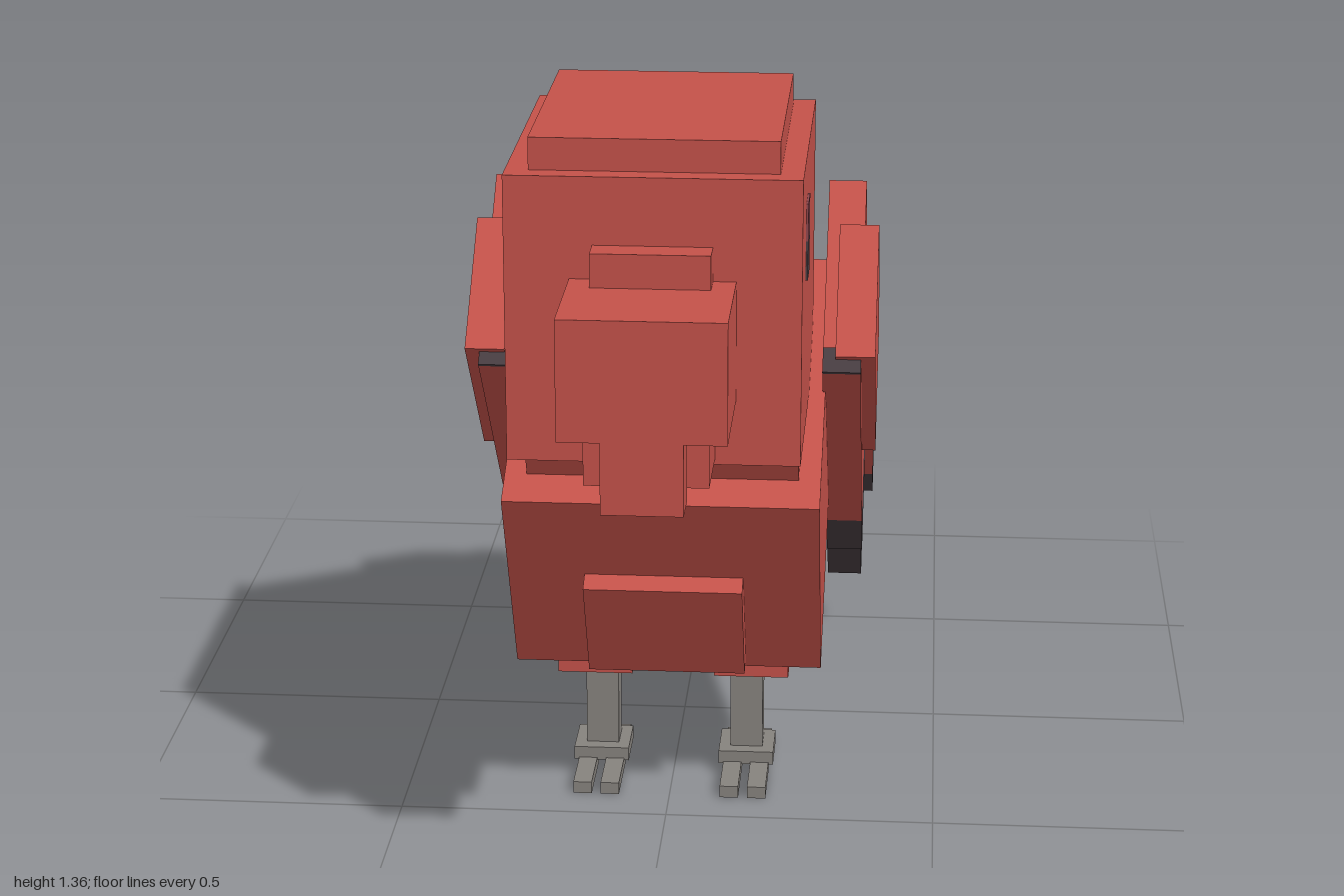
import * as THREE from 'three';

const mat = (name, color) => {
  const m = new THREE.MeshStandardMaterial({ color });
  m.name = name;
  return m;
};

export function createModel() {
  const red = mat('red', 0xc5524a);
  const plum = mat('plum', 0x90484f);
  const charcoal = mat('charcoal', 0x483d42);
  const blue = mat('blue', 0x506595);
  const grey = mat('grey', 0x87837e);

  const model = new THREE.Group();
  model.name = 'parrot';

  // Box from its limits on each axis
  function box(parent, name, material, [x0, x1], [y0, y1], [z0, z1]) {
    const mesh = new THREE.Mesh(new THREE.BoxGeometry(x1 - x0, y1 - y0, z1 - z0), material);
    mesh.position.set((x0 + x1) / 2, (y0 + y1) / 2, (z0 + z1) / 2);
    mesh.name = name;
    parent.add(mesh);
    return mesh;
  }
  const wide = (w) => [-w, w];

  // Group pitched about the x axis, in which parts are laid out straight
  function tilted(name, y, z, degrees) {
    const g = new THREE.Group();
    g.name = name;
    g.position.set(0, y, z);
    g.rotation.x = THREE.MathUtils.degToRad(degrees);
    model.add(g);
    return g;
  }

  // Head and beak
  const head = new THREE.Group();
  head.name = 'head';
  model.add(head);
  box(head, 'skull', red, wide(0.255), [0.8, 1.31], [0.19, 0.765]);
  box(head, 'crown', red, wide(0.215), [1.31, 1.367], [0.225, 0.727]);
  box(head, 'beak', red, wide(0.143), [0.917, 1.13], [0.765, 1]);
  box(head, 'beakRidge', red, wide(0.103), [1.13, 1.19], [0.765, 0.817]);
  box(head, 'lowerBeak', red, wide(0.107), [0.81, 0.917], [0.765, 0.913]);
  box(head, 'beakTip', red, wide(0.07), [0.79, 0.917], [0.927, 1]);

  // Torso: local -y runs down and back, local z points forward and down
  const torso = tilted('torso', 0.963, 0.048, 27);
  box(torso, 'body', red, wide(0.285), [-0.438, 0], [0, 0.647]);
  box(torso, 'neck', red, wide(0.245), [-0.1, 0.16], [0.012, 0.578]);
  box(torso, 'belly', red, wide(0.215), [-0.626, -0.4], [0.134, 0.492]);
  box(torso, 'chestPanel', red, wide(0.145), [-0.415, -0.19], [0.6, 0.685]);

  // Tail: local -z runs back, blue on the underside
  const tail = tilted('tail', 0.342, -0.107, -15);
  const tailMats = [plum, plum, plum, blue, plum, plum];
  box(tail, 'tailBase', tailMats, wide(0.21), [0, 0.125], [-0.35, 0.12]);
  box(tail, 'tailMiddle', tailMats, wide(0.143), [-0.002, 0.07], [-0.73, -0.2]);
  box(tail, 'tailTip', tailMats, wide(0.07), [0.011, 0.08], [-0.904, -0.706]);

  for (const s of [1, -1]) {
    const side = s > 0 ? 'left' : 'right';
    const span = (a, b) => (s > 0 ? [a, b] : [-b, -a]);
    const part = (g, name, m, x, y, z) => box(g, name, m, span(...x), y, z);

    // Eye: plum over charcoal
    part(head, side + 'EyeUpper', plum, [0.254, 0.259], [1.162, 1.23], [0.55, 0.62]);
    part(head, side + 'EyeLower', charcoal, [0.254, 0.259], [1.092, 1.162], [0.55, 0.62]);

    // Wing: local -y runs down and back along the feathers
    const wing = tilted(side + 'Wing', 1.134, 0.102, 42.5);
    const wp = (name, m, x, [u0, u1], v) => part(wing, name, m, x, [-u1, -u0], v);
    wp('wingUpper', red, [0.28, 0.35], [0, 0.59], [0, 0.417]);
    wp('wingInner', red, [0.28, 0.35], [0.59, 0.716], [0, 0.2]);
    wp('wingLowerEdge', charcoal, [0.28, 0.35], [0.59, 0.716], [0.2, 0.417]);
    wp('wingCornerTrim', charcoal, [0.28, 0.35], [-0.006, 0], [0.365, 0.417]);
    wp('shoulderPanel', red, [0.303, 0.376], [-0.016, 0.343], [0.107, 0.39]);
    wp('bluePatch', blue, [0.349, 0.354], [0.437, 0.63], [0, 0.2]);

    // Feather band over the wing
    const bandX = [0.285, 0.365], bandV = [-0.03, 0.19];
    wp('bandFront', charcoal, bandX, [0.61, 0.68], bandV);
    wp('bandBluePatch', blue, [0.364, 0.368], [0.61, 0.67], [-0.03, 0.032]);
    wp('bandMiddle', red, bandX, [0.68, 0.825], bandV);
    wp('bandRear', charcoal, bandX, [0.825, 0.9], bandV);

    // Flight feathers, plum on the inside and at the end
    const feather = (m, end) => {
      const list = [m, m, m, end, m, m];
      list[s > 0 ? 1 : 0] = plum;
      return list;
    };
    wp('featherBase', feather(red, red), [0.273, 0.343], [0.69, 0.885], [0, 0.281]);
    wp('featherTip', feather(charcoal, plum), [0.273, 0.343], [0.885, 1.107], [0, 0.281]);

    // Leg and foot
    const leg = new THREE.Group();
    leg.name = side + 'Leg';
    model.add(leg);
    part(leg, 'thigh', red, [0.078, 0.22], [0.21, 0.4], [0.19, 0.317]);
    part(leg, 'shin', grey, [0.108, 0.17], [0.04, 0.25], [0.22, 0.278]);
    part(leg, 'foot', grey, [0.087, 0.192], [0.022, 0.048], [0.2, 0.305]);
    for (const x of [0.096, 0.148]) {
      part(leg, 'frontToe', grey, [x, x + 0.035], [0.003, 0.026], [0.27, 0.417]);
      part(leg, 'backToe', grey, [x, x + 0.035], [0.003, 0.026], [0.145, 0.235]);
    }
  }

  // Rest the toes on the ground
  for (const child of model.children) child.position.y -= 0.003;
  return model;
}
